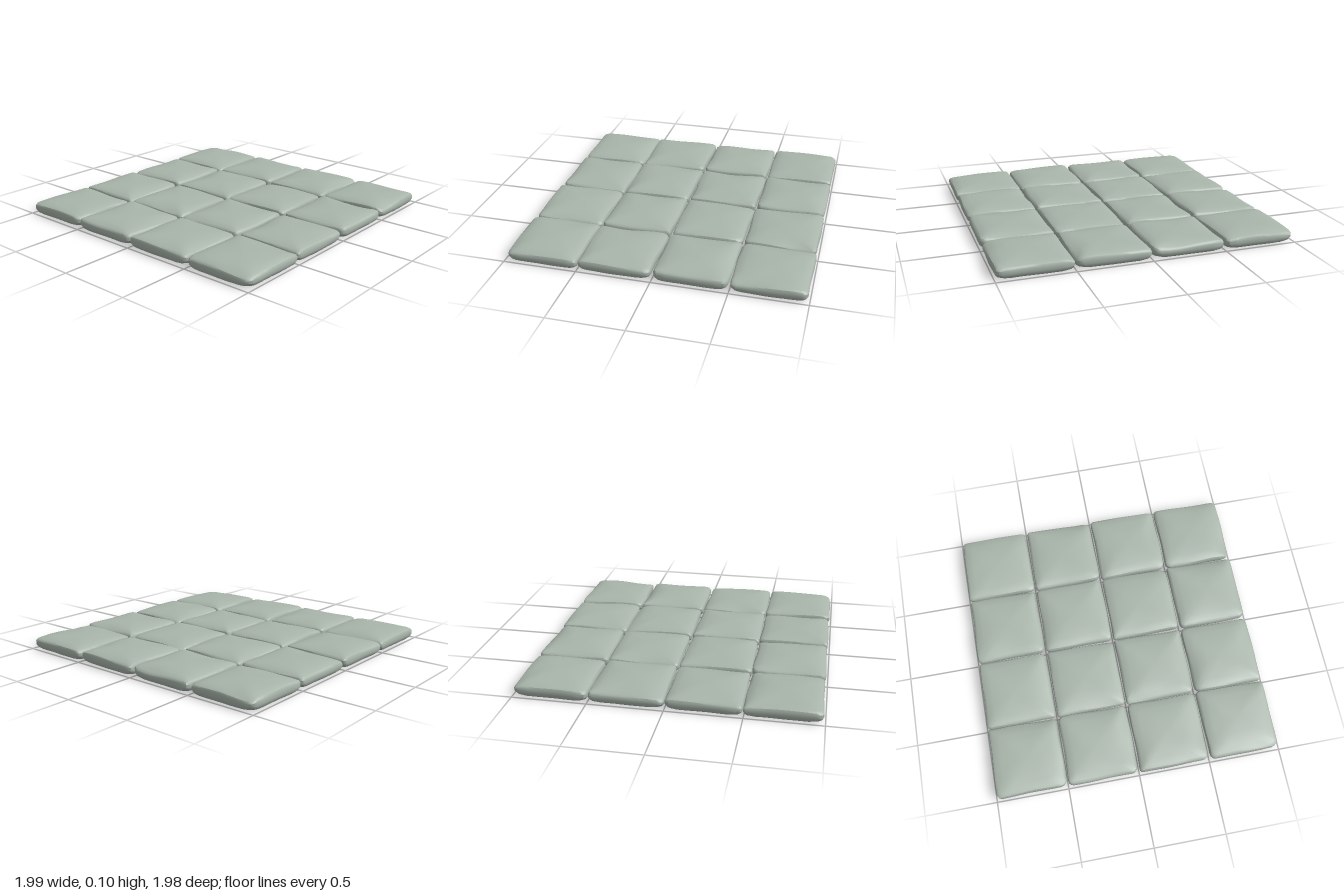
import * as THREE from 'three';
import { toCreasedNormals } from 'three/addons/utils/BufferGeometryUtils.js';

const ARC = 4, SIDE = 7;

// small seeded random generator
function seeded(seed) {
  let s = seed;
  return () => {
    s = (s * 16807) % 2147483647;
    return s / 2147483647;
  };
}

// outline of a rounded square: one radius per corner
function outline(halfX, halfZ, radii) {
  const pts = [], arcs = [];
  const signs = [[1, 1], [-1, 1], [-1, -1], [1, -1]];
  signs.forEach(([sx, sz], c) => {
    const arc = [];
    for (let i = 0; i < ARC; i++) {
      const a = (c + i / (ARC - 1)) * Math.PI / 2, r = radii[c];
      arc.push([sx * (halfX - r) + Math.cos(a) * r, sz * (halfZ - r) + Math.sin(a) * r]);
    }
    arcs.push(arc);
  });
  arcs.forEach((arc, c) => {
    pts.push(...arc);
    const from = arc[ARC - 1], to = arcs[(c + 1) % 4][0];
    for (let i = 1; i < SIDE; i++) {
      const t = i / SIDE;
      pts.push([from[0] + (to[0] - from[0]) * t, from[1] + (to[1] - from[1]) * t]);
    }
  });
  return pts;
}

// cross-sections from the underside to the crown: [inset, height, extra corner radius]
const RINGS = [
  [0.020, 0.004, 0.035],
  [0.006, 0.016, 0.02],
  [0.000, 0.035, 0.005],
  [0.001, 0.062, 0],
  [0.007, 0.075, 0],
  [0.022, 0.083, 0],
  [0.070, 0.089, 0.01],
  [0.140, 0.095, 0.01],
];

function stoneGeometry(seed) {
  const rnd = seeded(seed);
  for (let i = 0; i < 5; i++) rnd();
  const radii = [0, 1, 2, 3].map(() => 0.018 + 0.022 * rnd());
  const [p1, p2, p3, p4] = [0, 1, 2, 3].map(() => rnd() * Math.PI * 2);
  const tiltX = (rnd() - 0.5) * 0.02, tiltZ = (rnd() - 0.5) * 0.02;
  const worn = rnd() * Math.PI * 2;
  const pos = [], index = [];
  let n = 0;

  RINGS.forEach(([inset, y, extra], k) => {
    const pts = outline(0.248 - inset, 0.248 - inset, radii.map(r => r + extra));
    n = pts.length;
    pts.forEach(([x, z], i) => {
      const a = i / n * Math.PI * 2;
      // uneven chiselled edge, always cut inward
      const cut = 0.003 * (1 + Math.sin(a * 3 + p1)) + 0.0015 * (1 + Math.sin(a * 7 + p2 + k * 0.3));
      const s = 1 - cut / 0.25;
      // one worn stretch of the upper rim, and a slight tilt of the top
      const wear = Math.pow(Math.max(0, Math.cos(a - worn)), 12);
      let h = y;
      if (k >= 3) h += tiltX * x + tiltZ * z;
      if (k >= 3 && k <= 5) h -= 0.012 * wear + 0.003 * (1 + Math.sin(a * 4 + p3)) * (k > 3 ? 1 : 0.5);
      if (k === 6) h += 0.0015 * Math.sin(a * 3 + p4);
      pos.push(x * s, h, z * s);
    });
  });

  // walls and domed top, ring to ring
  for (let k = 0; k < RINGS.length - 1; k++) {
    for (let i = 0; i < n; i++) {
      const j = (i + 1) % n, a = k * n, b = a + n;
      index.push(a + i, b + i, b + j, a + i, b + j, a + j);
    }
  }
  // crown and underside
  const crown = RINGS.length * n, last = crown - n;
  pos.push(0, 0.0985, 0, 0, 0, 0);
  for (let i = 0; i < n; i++) {
    const j = (i + 1) % n;
    index.push(last + i, crown, last + j, i, j, crown + 1);
  }

  const geo = new THREE.BufferGeometry();
  geo.setAttribute('position', new THREE.Float32BufferAttribute(pos, 3));
  geo.setIndex(index);
  return toCreasedNormals(geo, 0.6);
}

export function createModel() {
  const group = new THREE.Group();
  group.name = 'stonePaving';
  const stone = new THREE.MeshStandardMaterial({ color: 0xa9b5ab });
  stone.name = 'greyGreenStone';

  // four by four paving slabs
  const xs = [-0.749, -0.25, 0.25, 0.749];
  const zs = [-0.746, -0.25, 0.25, 0.742];
  zs.forEach((z, r) => xs.forEach((x, c) => {
    const slab = new THREE.Mesh(stoneGeometry(1013 + r * 7717 + c * 2311), stone);
    slab.name = `slabRow${r + 1}Column${c + 1}`;
    slab.position.set(x, 0, z);
    group.add(slab);
  }));
  return group;
}
